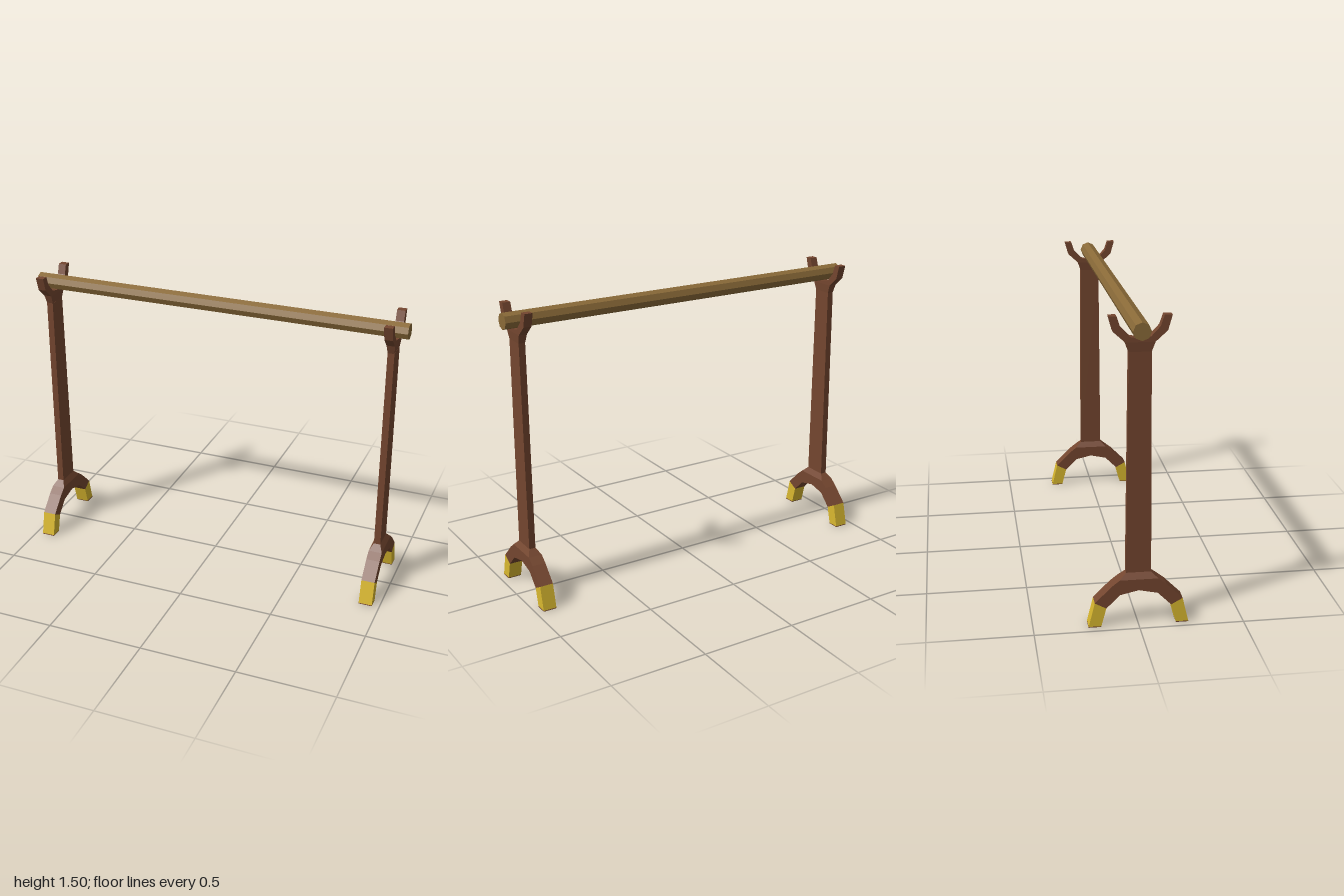
import * as THREE from 'three';

const brown = new THREE.MeshStandardMaterial({ name: 'dark wood', color: 0x74462f, flatShading: true });
const gold = new THREE.MeshStandardMaterial({ name: 'gold', color: 0xd9b82f, flatShading: true });
const tan = new THREE.MeshStandardMaterial({ name: 'light wood', color: 0x8a6a38, flatShading: true });

// Extrudes a [z, y] outline across x, centred on x = 0
function slab(points, width) {
  const shape = new THREE.Shape(points.map(([z, y]) => new THREE.Vector2(z, y)));
  const g = new THREE.ExtrudeGeometry(shape, { depth: width, bevelEnabled: false });
  g.translate(0, 0, -width / 2);
  g.rotateY(-Math.PI / 2);
  return g;
}

// Completes an outline given for +z by mirroring it; top and bottom may lie on z = 0
const mirrored = (half) => [
  ...half,
  ...half.filter(([z]) => z > 0).reverse().map(([z, y]) => [-z, y]),
];

// Box with different half sizes [x, z] at bottom and top
function taper(y0, [x0, z0], y1, [x1, z1]) {
  const g = new THREE.BoxGeometry(2, y1 - y0, 2);
  g.translate(0, (y0 + y1) / 2, 0);
  const p = g.attributes.position;
  for (let i = 0; i < p.count; i++) {
    const low = p.getY(i) < (y0 + y1) / 2;
    p.setX(i, p.getX(i) * (low ? x0 : x1));
    p.setZ(i, p.getZ(i) * (low ? z0 : z1));
  }
  g.computeVertexNormals();
  return g;
}

function add(group, name, geometry, material) {
  const mesh = new THREE.Mesh(geometry, material);
  mesh.name = name;
  group.add(mesh);
  return mesh;
}

function createStand(name) {
  const stand = new THREE.Group();
  stand.name = name;

  // Arched foot and the shoulder that narrows to the post
  const arch = mirrored([[0, 0.18], [0.09, 0.16], [0.155, 0.095], [0.21, 0.125], [0.13, 0.205], [0.092, 0.235]]);
  add(stand, 'footArch', slab(arch, 0.07), brown);
  add(stand, 'shoulder', taper(0.235, [0.035, 0.092], 0.265, [0.017, 0.06]), brown);

  // Gold toes with wooden soles
  for (const s of [1, -1]) {
    const toe = [[0.155, 0.095], [0.179, 0.004], [0.239, 0.004], [0.21, 0.125]];
    const sole = [[0.179, 0.004], [0.18, 0], [0.24, 0], [0.239, 0.004]];
    const flip = (pts) => pts.map(([z, y]) => [z * s, y]);
    const end = s > 0 ? 'front' : 'back';
    add(stand, end + 'Toe', slab(flip(toe), 0.07), gold);
    add(stand, end + 'Sole', slab(flip(sole), 0.07), brown);
  }

  // Post, slightly narrower toward the top
  add(stand, 'post', taper(0.265, [0.017, 0.06], 1.335, [0.017, 0.052]), brown);

  // Forked cradle, thinned where it meets the post
  const fork = slab(mirrored([
    [0.052, 1.335], [0.068, 1.38], [0.123, 1.43], [0.143, 1.5],
    [0.107, 1.5], [0.09, 1.45], [0.048, 1.405], [0, 1.395],
  ]), 0.042);
  const p = fork.attributes.position;
  for (let i = 0; i < p.count; i++) {
    if (p.getY(i) < 1.36) p.setX(i, p.getX(i) * 0.8);
  }
  fork.computeVertexNormals();
  add(stand, 'fork', fork, brown);
  return stand;
}

export function createModel() {
  const model = new THREE.Group();
  model.name = 'crossbarRack';
  for (const s of [1, -1]) {
    const stand = createStand(s > 0 ? 'leftStand' : 'rightStand');
    stand.position.x = s * 0.927;
    model.add(stand);
  }

  // Eight-sided crossbar resting in the forks
  const bar = new THREE.CylinderGeometry(0.042, 0.042, 2, 8);
  bar.rotateZ(Math.PI / 2);
  add(model, 'crossbar', bar, tan).position.y = 1.44;
  return model;
}
